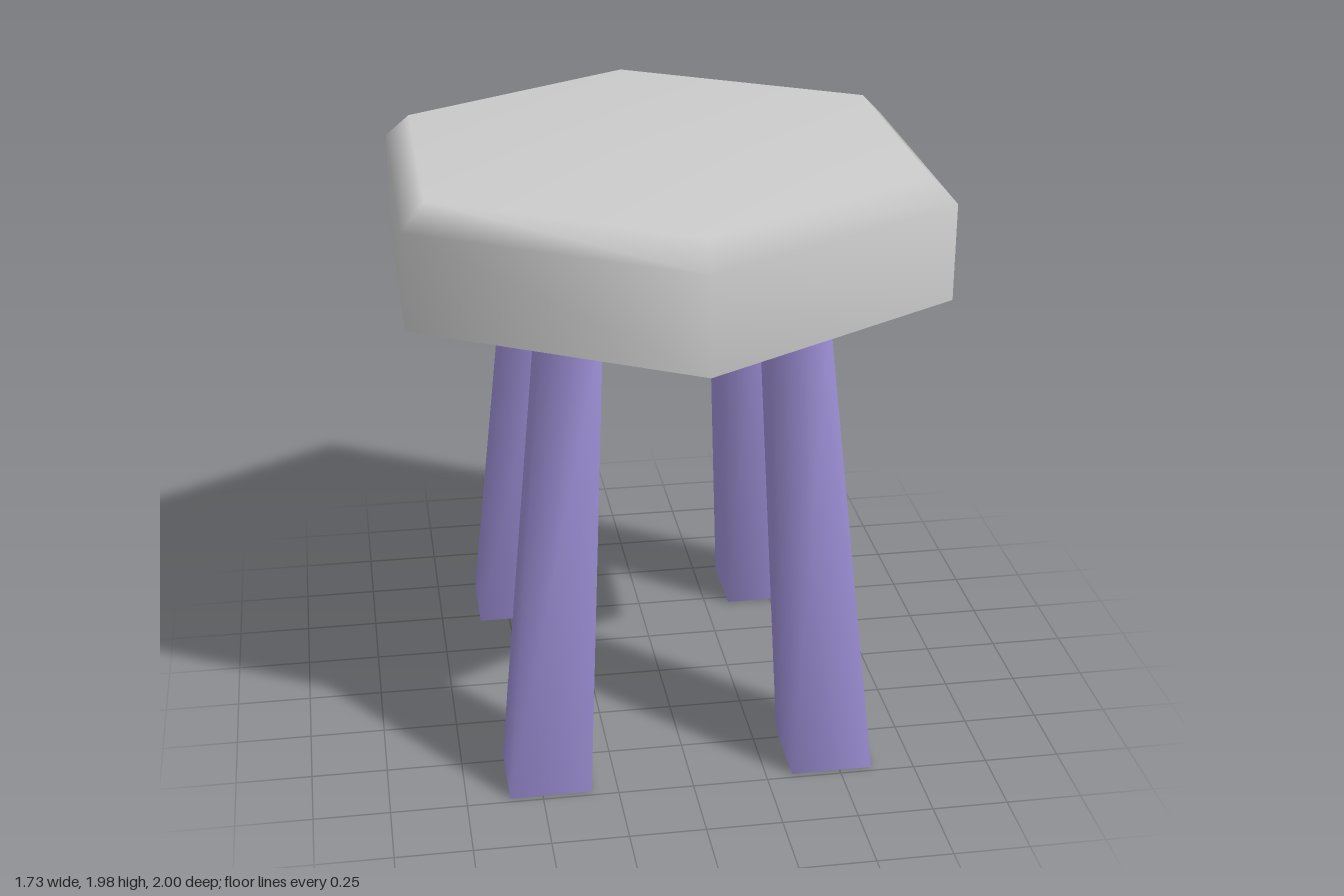
import * as THREE from 'three';
import { mergeVertices } from 'three/addons/utils/BufferGeometryUtils.js';

const LEG_TOP = 1.59;

// Tapered, splayed square leg with soft shared normals
function legGeometry(sx, sz) {
  const geo = new THREE.BoxGeometry(1, LEG_TOP, 1).translate(0, LEG_TOP / 2, 0);
  geo.deleteAttribute('normal');
  geo.deleteAttribute('uv');
  const p = geo.attributes.position;
  for (let i = 0; i < p.count; i++) {
    const t = p.getY(i) / LEG_TOP;
    const width = THREE.MathUtils.lerp(0.27, 0.19, t);
    const cx = THREE.MathUtils.lerp(0.473, 0.357, t);
    const cz = THREE.MathUtils.lerp(0.595, 0.475, t);
    p.setX(i, p.getX(i) * width + sx * cx);
    p.setZ(i, p.getZ(i) * width + sz * cz);
  }
  const merged = mergeVertices(geo);
  merged.computeVertexNormals();
  return merged;
}

export function createModel() {
  const model = new THREE.Group();
  model.name = 'stool';
  const seatMaterial = new THREE.MeshStandardMaterial({ color: 0xcccccc });
  const legMaterial = new THREE.MeshStandardMaterial({ color: 0x9d8fd6 });

  // Hexagonal seat: side wall, bevel and top in one smooth profile
  const seat = new THREE.Group();
  seat.name = 'seat';
  const profile = [[1, 1.58], [1, 1.9], [0.91, 1.98], [0, 1.98]]
    .map(([r, y]) => new THREE.Vector2(r, y));
  const body = new THREE.Mesh(new THREE.LatheGeometry(profile, 6), seatMaterial);
  body.name = 'seatBody';

  // Flat underside
  const under = new THREE.Mesh(
    new THREE.CircleGeometry(1, 6, Math.PI / 2).rotateX(Math.PI / 2).translate(0, 1.58, 0),
    seatMaterial
  );
  under.name = 'seatUnderside';
  seat.add(body, under);
  model.add(seat);

  // Four legs
  for (const sz of [1, -1]) {
    for (const sx of [1, -1]) {
      const leg = new THREE.Mesh(legGeometry(sx, sz), legMaterial);
      leg.name = (sz > 0 ? 'front' : 'back') + (sx > 0 ? 'Left' : 'Right') + 'Leg';
      model.add(leg);
    }
  }
  return model;
}
